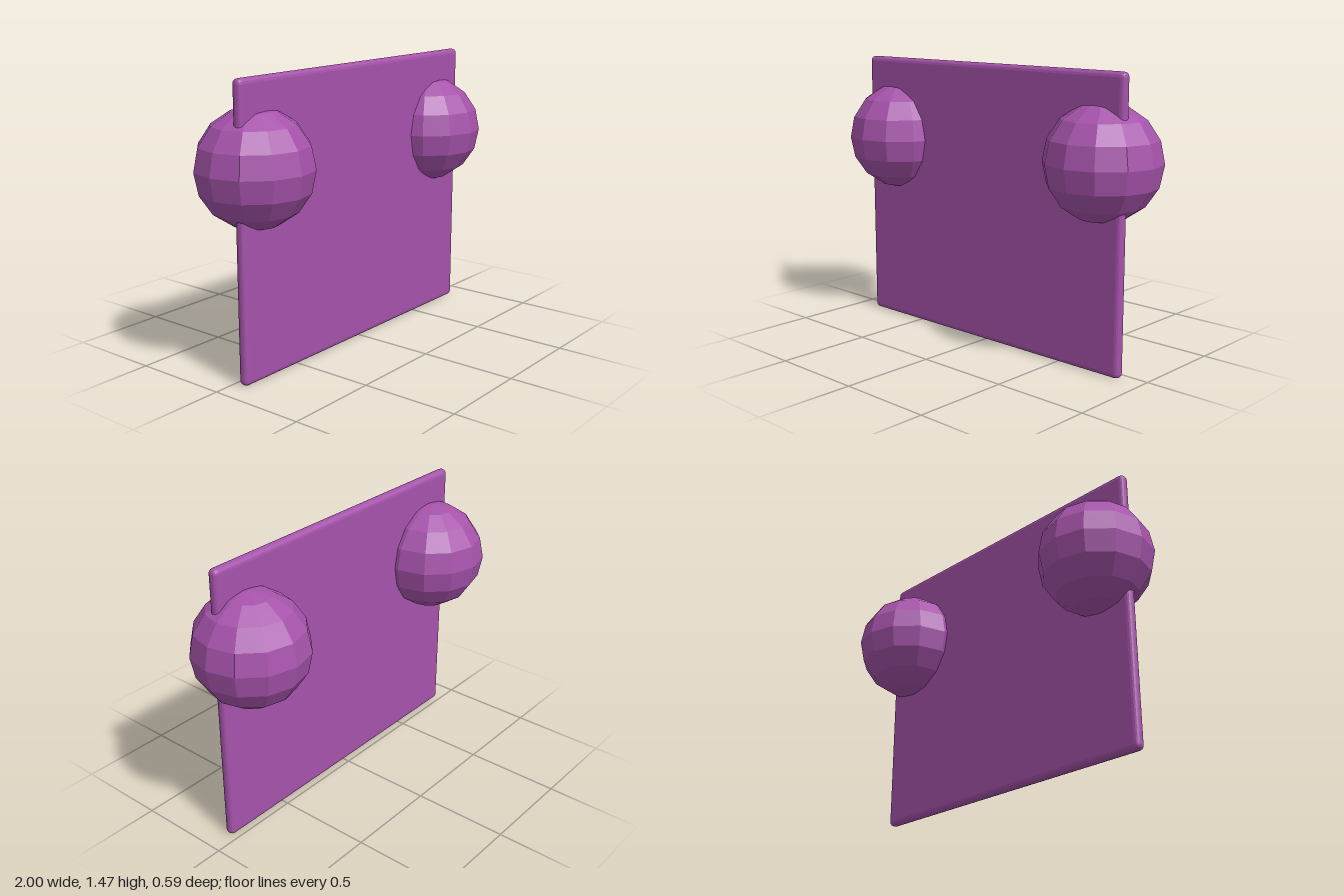
import * as THREE from 'three';
import { RoundedBoxGeometry } from 'three/addons/geometries/RoundedBoxGeometry.js';

export function createModel() {
  const model = new THREE.Group();
  const purple = new THREE.MeshStandardMaterial({ color: 0xa653ab });
  purple.flatShading = true;

  // Thin upright panel with softened edges, set slightly forward
  const panel = new THREE.Mesh(new RoundedBoxGeometry(1.76, 1.465, 0.055, 2, 0.025), purple);
  panel.name = 'panel';
  panel.position.set(0, 0.737, 0.053);
  model.add(panel);

  // Faceted balls piercing the panel near its side edges
  for (const [name, side] of [['leftBall', 1], ['rightBall', -1]]) {
    const ball = new THREE.Mesh(new THREE.SphereGeometry(0.293, 12, 8), purple);
    ball.name = name;
    ball.position.set(side * 0.707, 1.03, 0);
    model.add(ball);
  }
  return model;
}
